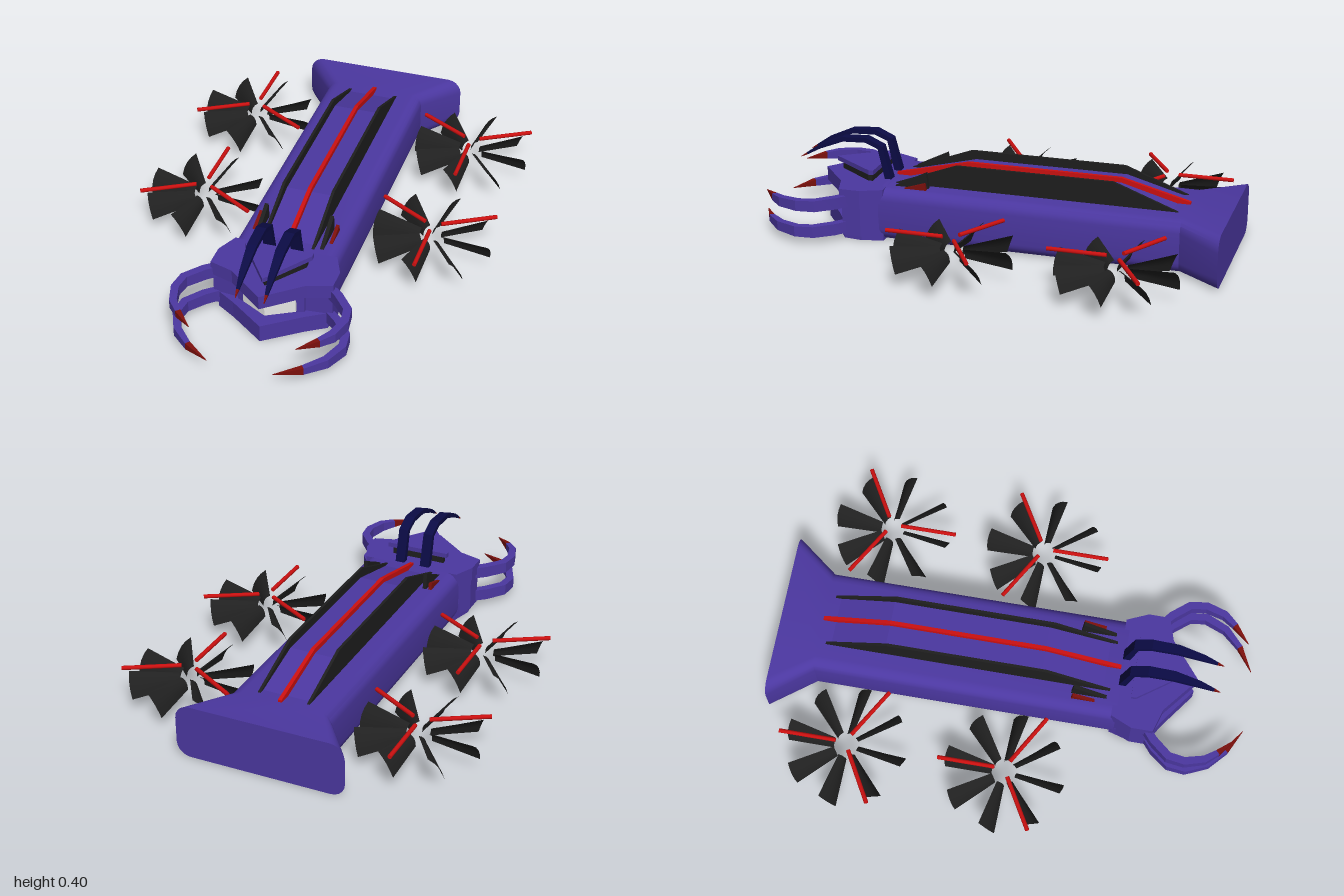
import * as THREE from 'three';
import { toCreasedNormals } from 'three/addons/utils/BufferGeometryUtils.js';

const mat = (name, color, side = THREE.FrontSide) => {
  const m = new THREE.MeshStandardMaterial({ color, side });
  m.name = name;
  return m;
};
const V = (x, y, z) => new THREE.Vector3(x, y, z);

// Skin between cross-sections that run counter-clockwise about the travel direction
function loft(rings, crease = 0.5) {
  const pos = [];
  const tri = (...p) => p.forEach(v => pos.push(v.x, v.y, v.z));
  const n = rings[0].length, last = rings[rings.length - 1];
  for (let k = 0; k < rings.length - 1; k++) {
    const a = rings[k], b = rings[k + 1];
    for (let i = 0; i < n; i++) {
      const j = (i + 1) % n;
      tri(a[i], a[j], b[j]);
      tri(a[i], b[j], b[i]);
    }
  }
  for (let i = 1; i < n - 1; i++) {
    tri(rings[0][0], rings[0][i + 1], rings[0][i]);
    tri(last[0], last[i], last[i + 1]);
  }
  const g = new THREE.BufferGeometry();
  g.setAttribute('position', new THREE.Float32BufferAttribute(pos, 3));
  return toCreasedNormals(g, crease);
}

// Tapered bar along a path; each size is [across axis, in the bending plane]
function sweepRings(path, sizes, axis) {
  return path.map((p, i) => {
    const t = path[Math.min(i + 1, path.length - 1)].clone()
      .sub(path[Math.max(i - 1, 0)]).normalize();
    const e2 = t.clone().cross(axis).normalize();
    return [[1, -1], [1, 1], [-1, 1], [-1, -1]].map(([a, b]) =>
      p.clone().addScaledVector(axis, a * sizes[i][0] / 2).addScaledVector(e2, b * sizes[i][1] / 2));
  });
}

const shapeOf = pts => new THREE.Shape(pts.map(p => new THREE.Vector2(...p)));

// Side profile in (z, y), given a thickness across x
function sideSlab(pts, width) {
  const g = new THREE.ExtrudeGeometry(shapeOf(pts), { depth: width, bevelEnabled: false });
  return g.translate(0, 0, -width / 2).rotateY(-Math.PI / 2);
}

// Symmetric plan outline in (x, z), listed for +x from back to front, raised from y0 to y1
function planSlab(half, y0, y1) {
  const pts = [...half, ...half.filter(p => p[0] > 0).reverse().map(([x, z]) => [-x, z])];
  const g = new THREE.ExtrudeGeometry(shapeOf(pts), { depth: y1 - y0, bevelEnabled: false });
  return g.rotateX(Math.PI / 2).translate(0, y1, 0);
}

// Rounded rectangle cross-section of the hull
function hullRing(w, y0, y1, r, z) {
  const ring = [];
  [[1, 1], [-1, 1], [-1, -1], [1, -1]].forEach(([sx, sy], q) => {
    for (let i = 0; i <= 5; i++) {
      const a = (q + i / 5) * Math.PI / 2;
      ring.push(V(sx * (w - r) + r * Math.cos(a), (sy > 0 ? y1 - r : y0 + r) + r * Math.sin(a), z));
    }
  });
  return ring;
}

// One pitched blade pointing along +x, slightly cambered
function bladeGeometry() {
  const g = new THREE.PlaneGeometry(1, 1, 4, 4);
  const p = g.attributes.position;
  for (let i = 0; i < p.count; i++) {
    const u = p.getX(i) + 0.5, v = p.getY(i) * 2;
    const halfW = 0.015 + 0.018 * u, halfH = 0.024 + 0.024 * u;
    const camber = 0.008 * (1 - v * v);
    p.setXYZ(i, 0.05 + 0.205 * u - 0.006 * v * v * u, v * halfH + camber, v * halfW - camber);
  }
  g.computeVertexNormals();
  return g;
}

export function createModel() {
  const purple = mat('purple', 0x4b37a0);
  const black = mat('black', 0x1e1e1e);
  const bladeBlack = mat('blade black', 0x202020, THREE.DoubleSide);
  const red = mat('red', 0xcc1010);
  const darkRed = mat('dark red', 0x7c100c);
  const navy = mat('navy', 0x0b0b45);
  const white = mat('white', 0xe6e6e6);

  const model = new THREE.Group();
  const add = (name, geo, m, parent = model) => {
    const mesh = new THREE.Mesh(geo, m);
    mesh.name = name;
    parent.add(mesh);
    return mesh;
  };

  // Hull with flared tail
  add('hull', loft([
    hullRing(0.36, 0, 0.225, 0.06, -1),
    hullRing(0.22, 0, 0.225, 0.05, -0.82),
    hullRing(0.22, 0, 0.225, 0.05, 0.46),
  ]), purple);

  // Back ridge, its red crest and the two black fins
  add('backRidge', sideSlab([[0.45, 0.21], [0.13, 0.29], [-0.53, 0.29], [-0.82, 0.21]], 0.2), purple);
  add('crest', sideSlab([[0.45, 0.21], [0.45, 0.235], [0.13, 0.31], [-0.53, 0.31], [-0.82, 0.235], [-0.82, 0.21]], 0.016), red);
  for (const s of [1, -1]) {
    add('backFin', sideSlab([[0.46, 0.21], [0.15, 0.326], [-0.52, 0.326], [-0.83, 0.21]], 0.012), black)
      .position.x = s * 0.106;
    // Small raked wedges behind the head
    const inner = add('blackWedge', sideSlab([[0.44, 0.21], [0.27, 0.295], [0.26, 0.21]], 0.016), black);
    inner.position.x = s * 0.14;
    const outer = add('redWedge', sideSlab([[0.44, 0.2], [0.27, 0.255], [0.26, 0.2]], 0.014), darkRed);
    outer.position.x = s * 0.164;
  }

  // Head: core, lips, teeth and brow
  const head = new THREE.Group();
  head.name = 'head';
  model.add(head);
  add('headCore', planSlab([[0.21, 0.44], [0.25, 0.53], [0.25, 0.61], [0.14, 0.62]], 0.02, 0.205), purple, head);
  const face = [[0.215, 0.44], [0.255, 0.53], [0.255, 0.62], [0.155, 0.65], [0, 0.775]];
  add('upperLip', planSlab(face, 0.165, 0.225), purple, head);
  add('lowerLip', planSlab([[0.215, 0.44], [0.24, 0.53], [0.23, 0.61], [0.15, 0.66], [0, 0.77]], 0, 0.075), purple, head);
  add('teeth', planSlab([[0.11, 0.55], [0.11, 0.65], [0, 0.71]], 0.083, 0.147), white, head);
  add('gums', planSlab([[0.14, 0.55], [0.14, 0.63], [0, 0.69]], 0.07, 0.17), purple, head);
  add('browBand', planSlab([[0.12, 0.52], [0.12, 0.54], [0, 0.7]], 0.22, 0.26), black, head);
  add('browCap', planSlab([[0.14, 0.51], [0.14, 0.53], [0, 0.725]], 0.258, 0.278), purple, head);

  // Antennae and mandibles
  const limb = (name, path, sizes, axis, split, base, tip) => {
    const rings = sweepRings(path, sizes, axis);
    add(name, loft(rings.slice(0, split + 1), 0.3), base);
    add(name + 'Tip', loft(rings.slice(split), 0.3), tip);
  };
  for (const s of [1, -1]) {
    limb('antenna',
      [[0.2, 0.46], [0.36, 0.5], [0.388, 0.565], [0.382, 0.67], [0.335, 0.78], [0.298, 0.84], [0.28, 0.87]]
        .map(([y, z]) => V(s * 0.058, y, z)),
      [[0.042, 0.03], [0.042, 0.024], [0.042, 0.022], [0.04, 0.02], [0.026, 0.016], [0.012, 0.009], [0.002, 0.002]],
      V(1, 0, 0), 5, navy, darkRed);
    const sizes = [[0.05, 0.03], [0.05, 0.034], [0.048, 0.034], [0.045, 0.033], [0.04, 0.03], [0.03, 0.022], [0.002, 0.002]];
    limb('lowerMandible',
      [[0.21, 0.58], [0.28, 0.64], [0.335, 0.71], [0.343, 0.78], [0.305, 0.87], [0.235, 0.94], [0.135, 1]]
        .map(([x, z]) => V(s * x, 0.055, z)), sizes, V(0, 1, 0), 5, purple, darkRed);
    limb('upperMandible',
      [[0.21, 0.57], [0.28, 0.63], [0.338, 0.7], [0.348, 0.77], [0.325, 0.85], [0.285, 0.9], [0.215, 0.965]]
        .map(([x, z]) => V(s * x, 0.172, z)), sizes, V(0, 1, 0), 5, purple, darkRed);
  }

  // Four rotors: eight pitched blades under three red bars
  const blade = bladeGeometry();
  const bar = new THREE.CylinderGeometry(0.009, 0.009, 0.24, 8).rotateZ(Math.PI / 2).translate(0.16, 0, 0);
  for (const s of [1, -1]) for (const z of [0.04, -0.63]) {
    const rotor = new THREE.Group();
    rotor.name = 'rotor';
    rotor.position.set(s * 0.5, 0.105, z);
    rotor.rotation.y = s > 0 ? Math.PI : 0;
    for (let i = 0; i < 8; i++)
      add('blade', blade, bladeBlack, rotor).rotation.y = THREE.MathUtils.degToRad(83 + 45 * i);
    for (let i = 0; i < 3; i++) {
      const b = add('rotorBar', bar, red, rotor);
      b.position.y = 0.062;
      b.rotation.y = THREE.MathUtils.degToRad(90 + 120 * i);
    }
    model.add(rotor);
  }
  return model;
}
